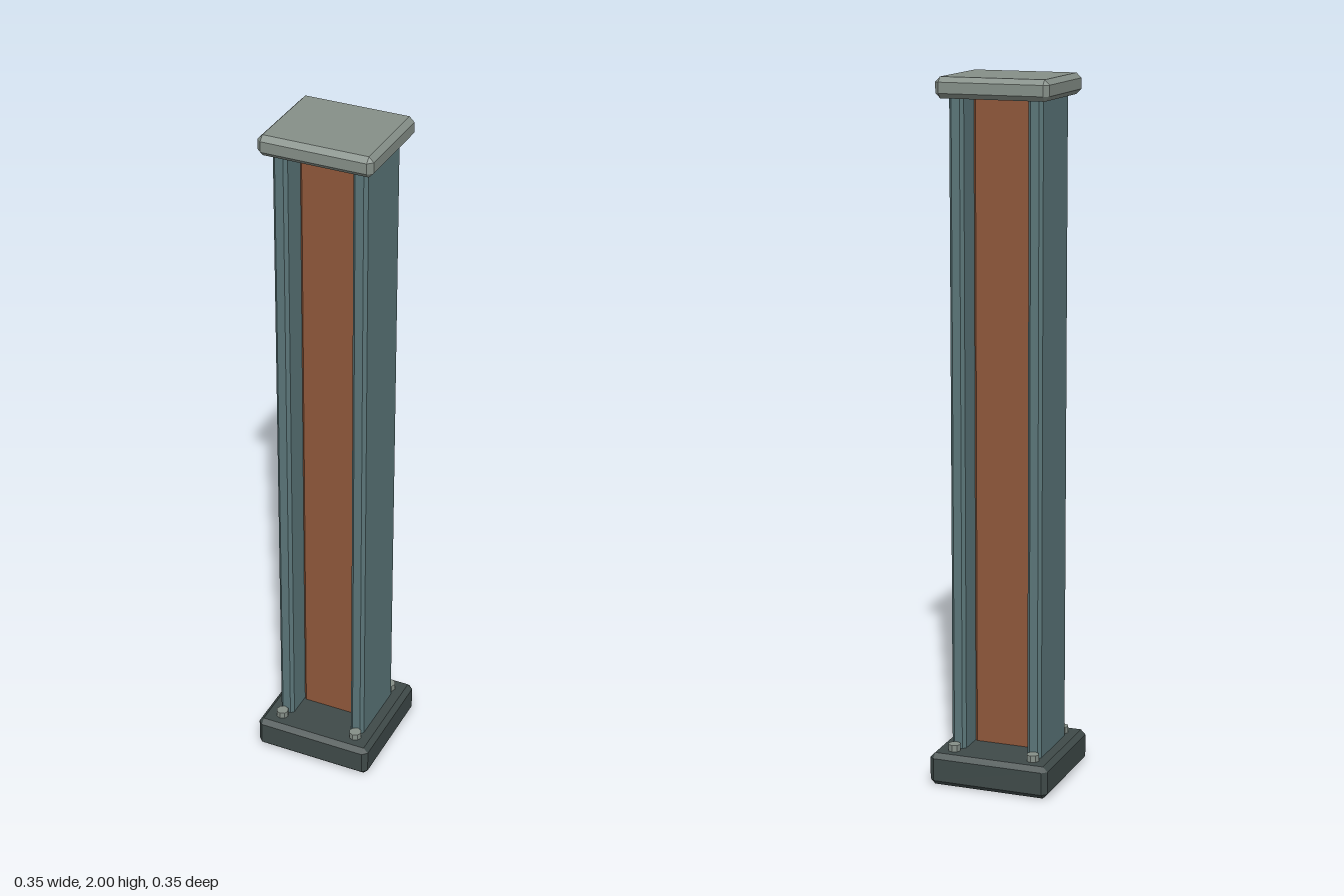
import * as THREE from 'three';
import { ConvexGeometry } from 'three/addons/geometries/ConvexGeometry.js';

const material = (color) => new THREE.MeshStandardMaterial({ color, flatShading: true });

// Box with every edge and corner cut by c; each face keeps a smaller rectangle.
function chamferBox(name, [w, h, d], [x, y, z], c, mat) {
  const half = [w / 2, h / 2, d / 2];
  const points = [];
  for (const sx of [-1, 1]) for (const sy of [-1, 1]) for (const sz of [-1, 1]) {
    const s = [sx, sy, sz];
    for (let face = 0; face < 3; face++) {
      points.push(new THREE.Vector3(...s.map((v, i) => v * (half[i] - (i === face ? 0 : c)))));
    }
  }
  const mesh = new THREE.Mesh(new ConvexGeometry(points), mat);
  mesh.name = name;
  mesh.position.set(x, y, z);
  return mesh;
}

export function createModel() {
  const group = new THREE.Group();
  group.name = 'pillar';
  const darkMetal = material(0x3f4a49);
  const steel = material(0x5b7679);
  const rust = material(0x8f573a);
  const paleMetal = material(0x858f88);

  // Foot and head plates
  group.add(chamferBox('basePlate', [0.354, 0.094, 0.354], [0, 0.047, 0], 0.014, darkMetal));
  group.add(chamferBox('capPlate', [0.326, 0.058, 0.284], [0, 1.971, 0], 0.014, paleMetal));

  // H-section: recessed web between two flanges
  group.add(chamferBox('web', [0.188, 1.88, 0.06], [0, 1.02, 0], 0.008, rust));
  for (const side of [-1, 1]) {
    group.add(chamferBox(side > 0 ? 'leftFlange' : 'rightFlange',
      [0.042, 1.88, 0.214], [side * 0.114, 1.02, 0], 0.009, steel));
  }

  // Anchor bolts at the corners of the base
  const boltGeometry = new THREE.CylinderGeometry(0.018, 0.018, 0.03, 8);
  for (const sx of [-1, 1]) for (const sz of [-1, 1]) {
    const bolt = new THREE.Mesh(boltGeometry, paleMetal);
    bolt.name = 'anchorBolt';
    bolt.position.set(sx * 0.119, 0.098, sz * 0.125);
    group.add(bolt);
  }
  return group;
}
